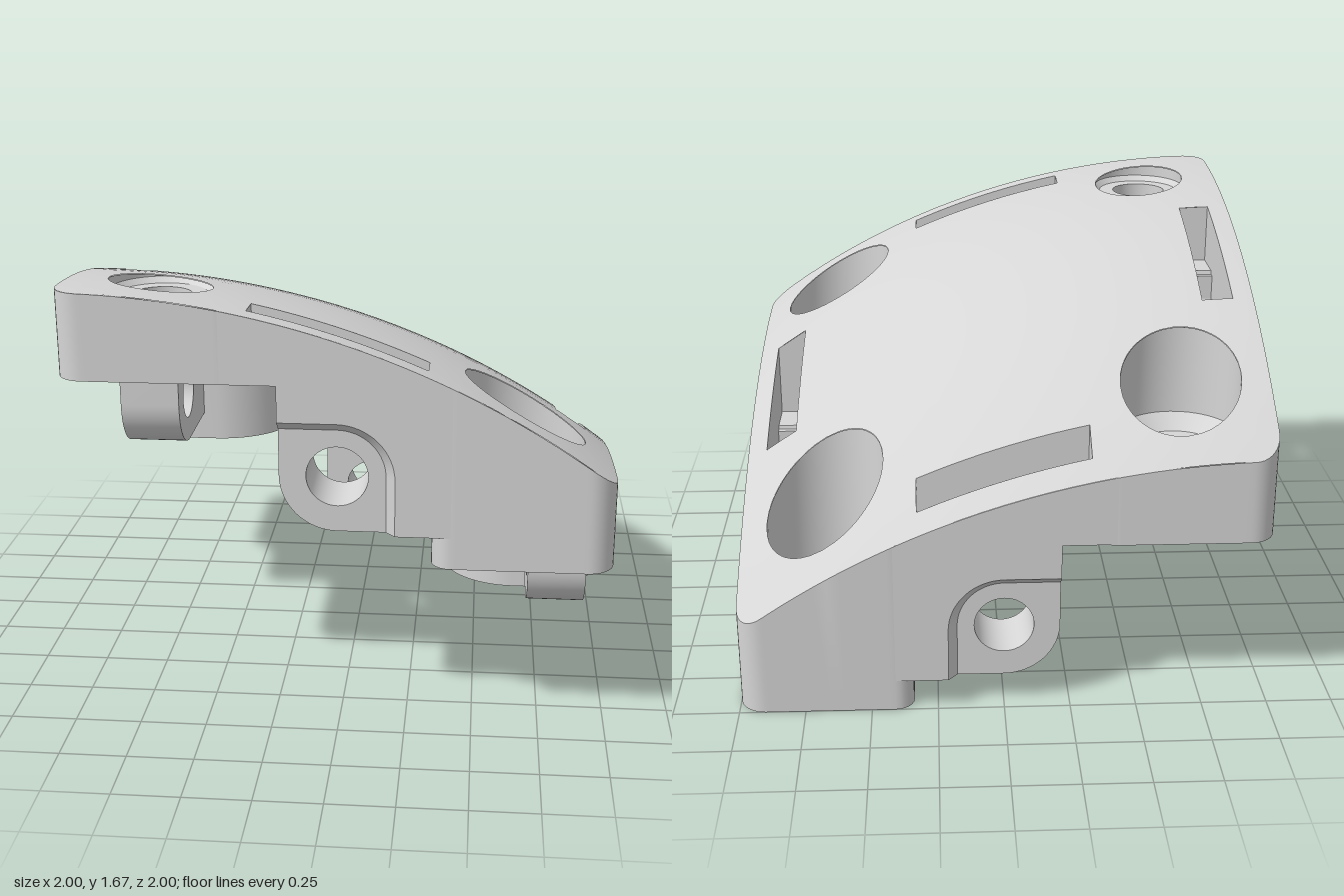
import * as THREE from 'three';
import { mergeVertices, toCreasedNormals } from 'three/addons/utils/BufferGeometryUtils.js';

const R = 3.32;
const drop = d => R - Math.sqrt(R * R - d * d);
// height of the domed top at any plan position
const top = (x, z) => 1.67 - drop(x + 1) - drop(1 - z);
const SHELL = 0.12;

export function createModel() {
  const model = new THREE.Group();
  const grey = new THREE.MeshStandardMaterial({ color: 0xd6d6d6, side: THREE.DoubleSide });
  grey.name = 'light grey';

  const add = (parent, name, geo) => {
    const mesh = new THREE.Mesh(geo, grey);
    mesh.name = name;
    parent.add(mesh);
    return mesh;
  };
  const fromQuads = quads => {
    const pos = [];
    for (const [a, b, c, d] of quads) pos.push(...a, ...b, ...c, ...a, ...c, ...d);
    const geo = new THREE.BufferGeometry();
    geo.setAttribute('position', new THREE.Float32BufferAttribute(pos, 3));
    return geo;
  };
  const band = (a, b) => toCreasedNormals(fromQuads(
    a.slice(1).map((p, i) => [a[i], p, b[i + 1], b[i]])), 0.5);
  const smooth = geo => {
    const merged = mergeVertices(geo, 1e-4);
    merged.computeVertexNormals();
    return merged;
  };
  const arc = (cx, cy, r, a0, a1, n = 12) => Array.from({ length: n + 1 }, (_, i) => {
    const a = a0 + (a1 - a0) * i / n;
    return [cx + r * Math.cos(a), cy + r * Math.sin(a)];
  });
  const line = (x0, y0, x1, y1, n = 8) => Array.from({ length: n + 1 }, (_, i) =>
    [x0 + (x1 - x0) * i / n, y0 + (y1 - y0) * i / n]);
  const shapeOf = pts => new THREE.Shape(pts.map(p => new THREE.Vector2(...p)));
  const PI = Math.PI;

  // plan grid aligned with the slots and screw pockets
  const steps = [-0.23, -0.19, -0.15, -0.13, -0.09, -0.05, 0, 0.05, 0.09, 0.13, 0.15, 0.19, 0.23];
  const half = [0.08, 0.16, 0.24, 0.32, 0.38, ...steps.map(v => 0.67 + v), 0.92, 0.94, 0.96, 0.98, 1];
  const grid = [...half.map(v => -v).reverse(), 0, ...half];
  const vertex = (x, z, lift) => {
    const dx = Math.abs(x) - 0.9, dz = Math.abs(z) - 0.9;
    if (dx > 1e-6 && dz > 1e-6) { // rounded plan corners
      const k = Math.max(dx, dz) / Math.hypot(dx, dz);
      x = Math.sign(x) * (0.9 + dx * k);
      z = Math.sign(z) * (0.9 + dz * k);
    }
    return [x, top(x, z) + lift, z];
  };
  const sheet = (skip, lift) => {
    const quads = [];
    for (let i = 0; i < grid.length - 1; i++) for (let j = 0; j < grid.length - 1; j++) {
      const [x0, x1, z0, z1] = [grid[i], grid[i + 1], grid[j], grid[j + 1]];
      if (skip(Math.abs(x0 + x1) / 2, Math.abs(z0 + z1) / 2)) continue;
      quads.push([[x0, z0], [x0, z1], [x1, z1], [x1, z0]].map(p => vertex(...p, lift)));
    }
    return quads;
  };
  const inTile = (x, z) => x > 0.44 && x < 0.9 && z > 0.44 && z < 0.9;
  const inSlot = (x, z) => x > 0.8 && x < 0.92 && z < 0.32;

  // domed top with openings; each screw opening blends from a circle to a square
  const corners = [[-1, 1], [1, 1], [-1, -1], [1, -1]];
  const boreRadius = (sx, sz) => sx < 0 && sz > 0 ? 0.19 : 0.225;
  const dome = sheet((x, z) => inTile(x, z) || inSlot(x, z) || inSlot(z, x), 0);
  const square = [...steps.map(v => [0.23, v]), ...steps.map(v => [-v, 0.23]),
    ...steps.map(v => [-0.23, -v]), ...steps.map(v => [v, -0.23])];
  for (const [sx, sz] of corners) {
    const at = ([a, b], k) => {
      const q = k + (1 - k) * boreRadius(sx, sz) / Math.hypot(a, b);
      return vertex(sx * 0.67 + a * q, sz * 0.67 + b * q, 0);
    };
    square.forEach((p, i) => {
      const n = square[(i + 1) % square.length];
      if (Math.hypot(p[0] - n[0], p[1] - n[1]) > 1e-6) dome.push([at(p, 0), at(n, 0), at(n, 1), at(p, 1)]);
    });
  }
  add(model, 'domedTop', smooth(fromQuads(dome)));

  // underside of the shell between the corner blocks, with stiffening ribs and rings
  const under = sheet((x, z) => x > 0.8 || z > 0.8 || (x > 0.43 && z > 0.43), -SHELL);
  add(model, 'shellUnderside', smooth(fromQuads(under.map(q => q.reverse()))));
  const hang = geo => {
    const p = geo.attributes.position;
    for (let i = 0; i < p.count; i++)
      p.setY(i, p.getY(i) + top(p.getX(i), p.getZ(i)) - SHELL);
    return toCreasedNormals(geo, 0.5);
  };
  add(model, 'shellRib', hang(new THREE.BoxGeometry(1.44, 0.08, 0.04, 16, 1, 1)));
  add(model, 'shellRib', hang(new THREE.BoxGeometry(0.04, 0.08, 1.44, 1, 1, 16)));
  const ringProfile = [[0.11, 0], [0.11, -0.04], [0.14, -0.04], [0.14, 0]].map(p => new THREE.Vector2(...p));
  for (const [sx, sz] of corners)
    add(model, 'shellRing', hang(new THREE.LatheGeometry(ringProfile, 40).translate(sx * 0.33, 0, sz * 0.33)));

  // hollow corner blocks with screw bores
  const outline = (h, c, e) => [
    ...arc(0, 0, h, PI, 1.5 * PI, 20), ...arc(h - e, -h + e, e, -PI / 2, 0, 6),
    ...line(h, -h + e + 0.02, h, h - c - 0.02), ...arc(h - c, h - c, c, 0, PI / 2, 10),
    ...line(h - c - 0.02, h, -h + e + 0.02, h), ...arc(-h + e, h - e, e, PI / 2, PI, 6)];
  for (const [sx, sz] of corners) {
    const block = new THREE.Group();
    block.name = 'cornerBlock';
    model.add(block);
    const cx = sx * 0.67, cz = sz * 0.67, base = 0.675 + (sz - sx) * 0.3375;
    const plan = (h, c, e) => outline(h, c, e).map(([a, b]) => [cx + sx * a, -(cz + sz * b)]);

    const wall = shapeOf(plan(0.33, 0.1, 0.07));
    wall.holes.push(new THREE.Path(plan(0.27, 0.05, 0.03).map(p => new THREE.Vector2(...p))));
    const wallGeo = new THREE.ExtrudeGeometry(wall, { depth: 9, bevelEnabled: false });
    wallGeo.rotateX(-PI / 2).translate(0, base, 0);
    const follow = geo => {
      const p = geo.attributes.position;
      for (let i = 0; i < p.count; i++)
        p.setY(i, Math.min(p.getY(i), top(p.getX(i), p.getZ(i)) - 0.002));
      return toCreasedNormals(geo, 0.5);
    };
    add(block, 'blockWall', follow(wallGeo));

    const floor = shapeOf(plan(0.3, 0.07, 0.05));
    floor.holes.push(new THREE.Path().absarc(cx, -cz, 0.13, 0, 2 * PI));
    const floorGeo = new THREE.ExtrudeGeometry(floor, { depth: 0.02, bevelEnabled: false, curveSegments: 24 });
    add(block, 'blockFloor', floorGeo.rotateX(-PI / 2).translate(0, base + 0.2, 0));

    const r = boreRadius(sx, sz);
    const bore = new THREE.LatheGeometry([[0.17, 0.21], [0.17, 0.01], [0.112, 0.01], [0.112, 0.24],
      [0.17, 0.24], [r, 0.24 + (r - 0.17) * 1.1], [r, 9]].map(p => new THREE.Vector2(...p)), 64);
    add(block, 'screwBore', follow(bore.translate(cx, base, cz)));

    for (let i = 0; i < 4; i++) {
      const rib = add(block, 'rib', new THREE.BoxGeometry(0.14, 0.19, 0.05).translate(0.23, 0, 0));
      rib.position.set(cx, base + 0.11, cz);
      rib.rotation.y = i * PI / 2;
    }
  }

  // four side walls, each with a hinge lug and a slot
  for (const [turned, s] of [[0, 1], [0, -1], [1, 1], [1, -1]]) {
    const side = new THREE.Group();
    side.name = 'sideWall';
    side.rotation.y = turned * PI / 2;
    model.add(side);
    const hy = turned === (s > 0 ? 1 : 0) ? 0.333 : 1.005;
    const height = (u, w) => turned ? top(s * w, -u) : top(u, s * w);
    const slab = (name, pts, w0, w1, hole) => {
      const shape = shapeOf(pts);
      if (hole) shape.holes.push(new THREE.Path().absarc(0, hy, hole, 0, 2 * PI));
      const geo = new THREE.ExtrudeGeometry(shape, { depth: w1 - w0, bevelEnabled: false, curveSegments: 32 });
      add(side, name, toCreasedNormals(geo.translate(0, 0, s > 0 ? w0 : -w1), 0.5));
    };
    const E = 0.41;
    const crest = (w0, w1) => line(E, 0, -E, 0, 24).map(([u]) =>
      [u, Math.min(height(u, w0), height(u, w1)) - 0.002]);
    const step = [[-E, hy + 0.345], [-0.21, hy + 0.345]];

    // outer skin with the arched recess
    const arch = r => [[-0.21, hy + r], ...arc(0, hy, r, PI / 2, 0, 16), [r, hy - 0.21]];
    slab('outerSkin', [...step, ...arch(0.21), [E, hy - 0.21], ...crest(1, 1)], 0.96, 1);
    const rim = (r, w) => arch(r).map(([u, y]) => [u, y, s * w]);
    add(side, 'recessChamfer', band(rim(0.21, 1), rim(0.175, 0.959)));

    // skins either side of the slot
    const upper = [...step, [-0.21, hy + 0.18], [E, hy + 0.18]];
    slab('middleSkin', [...upper, ...crest(0.92, 0.96)], 0.92, 0.96);
    slab('innerSkin', [...upper, ...crest(0.72, 0.8)], 0.72, 0.8);

    // hinge lug with pin hole
    slab('hingeLug', [[-0.21, hy + 0.345], ...arc(0, hy, 0.21, PI, 1.5 * PI, 16),
      [0.36, hy - 0.21], [0.36, hy + 0.2], [-0.13, hy + 0.2], [-0.13, hy + 0.345]], 0.72, 0.96, 0.112);

    // slot lining and floor
    const run = line(-0.32, 0, 0.32, 0, 16).map(p => p[0]);
    const ring = [...run.map(u => [u, 0.8]), ...run.slice().reverse().map(u => [u, 0.92]), [-0.32, 0.8]];
    const bed = u => hy + (u < -0.13 ? 0.36 : 0.21);
    add(side, 'slotLining', band(ring.map(([u, w]) => [u, height(u, w), s * w]),
      ring.map(([u, w]) => [u, bed(u), s * w])));
    add(side, 'slotFloor', band(run.map(u => [u, bed(u), s * 0.8]), run.map(u => [u, bed(u), s * 0.92])));
  }
  return model;
}
